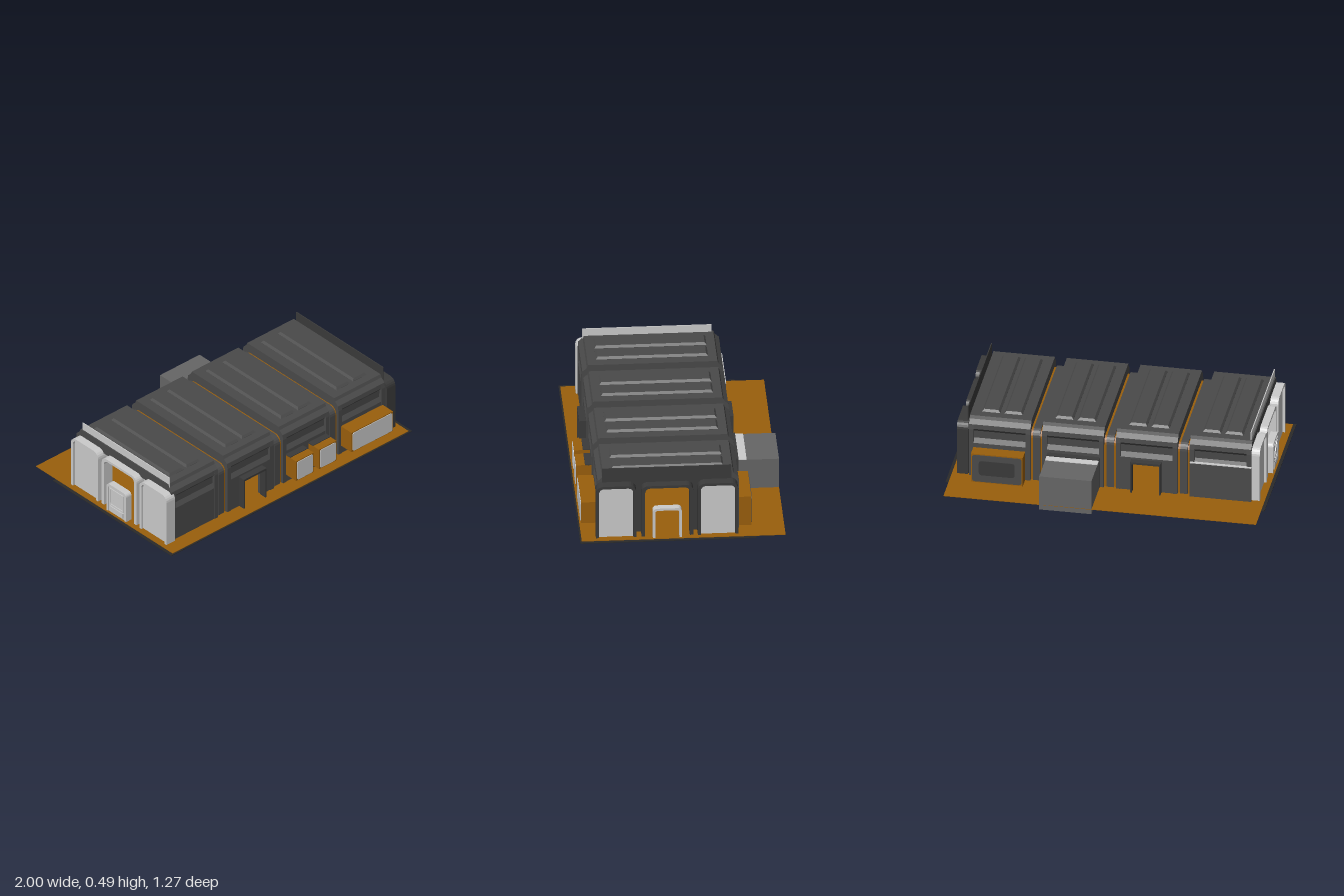
import * as THREE from 'three';

const mat = (color, side = THREE.DoubleSide) => new THREE.MeshStandardMaterial({ color, side, flatShading: true });
const dark = mat(0x4a4a4a), frameDark = mat(0x3a3a3a), baseDark = mat(0x2a2a2a);
const mid = mat(0x666666), light = mat(0xcccccc), brown = mat(0x9a5f0c);
const lightInside = mat(0xcccccc, THREE.FrontSide);
const GROUND = 0.035, ZC = 0.08;

export function createModel() {
  const model = new THREE.Group();
  const add = (parent, name, geo, material) => {
    const m = new THREE.Mesh(geo, material);
    m.name = name;
    parent.add(m);
    return m;
  };
  const group = (name) => {
    const g = new THREE.Group();
    g.name = name;
    model.add(g);
    return g;
  };
  // box given by its limits
  const box = (parent, name, x0, x1, y0, y1, z0, z1, material) =>
    add(parent, name, new THREE.BoxGeometry(x1 - x0, y1 - y0, z1 - z0)
      .translate((x0 + x1) / 2, (y0 + y1) / 2, (z0 + z1) / 2), material);
  // shape drawn across the building, extruded along x
  const prism = (shape, x0, x1, zc) =>
    new THREE.ExtrudeGeometry(shape, { depth: x1 - x0, bevelEnabled: false, curveSegments: 5 })
      .rotateY(Math.PI / 2).translate(x0, 0, zc);
  // half of a round-cornered arch, from the ground to the crown
  const arch = (d, top, r, y0 = GROUND) => {
    const pts = [[d, y0]];
    for (let i = 0; i <= 5; i++) {
      const a = i * Math.PI / 10;
      pts.push([d - r + r * Math.cos(a), top - r + r * Math.sin(a)]);
    }
    return pts;
  };
  const mirrored = (half) => [...half, ...half.slice().reverse().map(([d, y]) => [-d, y])];
  const hoop = (outer, inner) =>
    new THREE.Shape([...mirrored(outer), ...mirrored(inner).reverse()].map(p => new THREE.Vector2(...p)));
  const solid = (half) => new THREE.Shape(mirrored(half).map(p => new THREE.Vector2(...p)));
  // rounded rectangle facing z
  const plate = (parent, name, x0, x1, y0, y1, z, depth, r, material) => {
    const s = new THREE.Shape();
    s.moveTo(x0 + r, y0);
    s.lineTo(x1 - r, y0).quadraticCurveTo(x1, y0, x1, y0 + r);
    s.lineTo(x1, y1 - r).quadraticCurveTo(x1, y1, x1 - r, y1);
    s.lineTo(x0 + r, y1).quadraticCurveTo(x0, y1, x0, y1 - r);
    s.lineTo(x0, y0 + r).quadraticCurveTo(x0, y0, x0 + r, y0);
    return add(parent, name, new THREE.ExtrudeGeometry(s, { depth, bevelEnabled: false, curveSegments: 4 })
      .translate(0, 0, z), material);
  };

  // ground plates
  box(model, 'groundPlate', -1, 1, 0.027, 0.031, -0.46, 0.63, baseDark);
  box(model, 'groundCover', -0.98, 0.98, 0.0315, 0.0345, -0.64, 0.62, brown);

  // four hollow modules: full-profile end ribs and a recessed middle
  const rib = (y) => [[0.44, y], [0.44, 0.36], [0.435, 0.395], [0.408, 0.42], [0.4, 0.44]];
  const recess = (y) => [[0.437, y], [0.437, 0.265], [0.42, 0.295], [0.422, 0.345], [0.438, 0.365],
    [0.435, 0.395], [0.408, 0.42], [0.4, 0.44]];
  const inner = (y) => arch(0.405, 0.37, 0.05, y);
  const modules = [-0.705, -0.2425, 0.22, 0.68];
  modules.forEach((cx, i) => {
    const g = group('module' + (i + 1));
    const h = 0.193, w = 0.03;
    for (const s of [-1, 1])
      add(g, 'endRib', prism(hoop(rib(GROUND), inner(GROUND)),
        cx + s * (h - w / 2) - w / 2, cx + s * (h - w / 2) + w / 2, ZC), dark);
    const shell = (x0, x1, y) => add(g, 'shell', prism(hoop(recess(y), inner(y)), x0, x1, ZC), dark);
    if (i === 1) {
      // passage through both side walls
      shell(cx - h + w, -0.33, GROUND);
      shell(-0.33, -0.15, 0.24);
      shell(-0.15, cx + h - w, GROUND);
    } else shell(cx - h + w, cx + h - w, GROUND);
    // raised roof panels
    for (const s of [-1, 1]) {
      const p = new THREE.Shape([[-0.045, -0.335], [0.045, -0.335], [0.045, 0.335], [-0.045, 0.335]]
        .map(q => new THREE.Vector2(...q)));
      add(g, 'roofPanel', new THREE.ExtrudeGeometry(p, { depth: 0.002, bevelThickness: 0.014, bevelSize: 0.012, bevelSegments: 1 })
        .rotateX(-Math.PI / 2).translate(cx + s * 0.07, 0.439, ZC), dark);
    }
  });

  // connectors between the modules
  for (let i = 0; i < 3; i++) {
    const g = group('connector' + (i + 1)), cx = (modules[i] + modules[i + 1]) / 2;
    add(g, 'seal', prism(hoop(arch(0.42, 0.378, 0.05), arch(0.4, 0.36, 0.045)), cx - 0.04, cx + 0.04, ZC), brown);
    add(g, 'band', prism(hoop(arch(0.428, 0.386, 0.05), arch(0.41, 0.366, 0.045)), cx - 0.023, cx + 0.023, ZC), dark);
  }

  // end walls, each with three bays
  for (const s of [-1, 1]) {
    const g = group(s > 0 ? 'leftEnd' : 'rightEnd');
    const frame = s > 0 ? frameDark : light;
    const span = (a, b) => [Math.min(s * a, s * b), Math.max(s * a, s * b)];
    const seg = (name, shape, a, b, zc, m) => add(g, name, prism(shape, ...span(a, b), zc), m);
    seg('innerWall', hoop(arch(0.42, 0.38, 0.05), arch(0.138, 0.37, 0.03)), 0.872, 0.882, 0.085, frame);
    for (const side of [-1, 1]) {
      const zc = 0.09 + side * 0.315;
      seg('bayFrame', hoop(arch(0.125, 0.395, 0.045), arch(0.106, 0.378, 0.03)), 0.88, 0.95, zc, frame);
      seg('bayPanel', solid(arch(0.108, 0.38, 0.03)), 0.925, 0.935, zc, light);
    }
    seg('middleFrame', hoop(arch(0.16, 0.387, 0.04), arch(0.138, 0.37, 0.03)), 0.88, 0.945, 0.0875, frame);
    seg('doorFrame', hoop(arch(0.09, 0.24, 0.025), arch(0.075, 0.225, 0.018)), 0.925, 0.97, 0.09, light);
    // upright strip above the end wall
    const [x0, x1] = span(0.884, 0.89);
    box(g, 'roofStrip', x0, x1, 0.375, 0.49, -0.31, 0.49, s > 0 ? frameDark : light);
  }

  // closed door in the right end, with braced panel on both faces
  const door = group('endDoor');
  box(door, 'doorLeaf', -0.965, -0.935, GROUND, 0.23, 0.012, 0.168, light);
  for (const x of [-0.967, -0.933]) {
    const bar = (y0, y1, z0, z1) => box(door, 'doorTrim', x - 0.004, x + 0.004, y0, y1, z0, z1, light);
    bar(0.205, 0.213, 0.025, 0.155);
    bar(0.09, 0.098, 0.025, 0.155);
    bar(0.098, 0.205, 0.025, 0.033);
    bar(0.098, 0.205, 0.147, 0.155);
    bar(0.045, 0.08, 0.03, 0.15);
    const brace = add(door, 'doorBrace', new THREE.BoxGeometry(0.008, 0.01, 0.16), light);
    brace.position.set(x, 0.151, 0.09);
    brace.rotation.x = -0.72;
  }
  add(model, 'innerLining', new THREE.PlaneGeometry(0.28, 0.33).rotateY(Math.PI / 2)
    .translate(-0.945, 0.2, 0.0875), lightInside);

  // hoods around the side passage
  const hood = group('passageHoods');
  for (const [z0, z1] of [[0.51, 0.56], [-0.395, -0.35]]) {
    box(hood, 'hoodTop', -0.335, -0.145, 0.238, 0.252, z0, z1, frameDark);
    for (const x of [-0.335, -0.155]) box(hood, 'hoodSide', x, x + 0.01, GROUND, 0.24, z0, z1, frameDark);
  }

  // window boxes on the front
  const windows = group('frontWindows');
  for (const [x0, x1] of [[0.05, 0.195], [0.24, 0.385], [0.51, 0.855]]) {
    box(windows, 'windowBox', x0, x1, 0.092, 0.238, 0.5, 0.615, brown);
    plate(windows, 'windowPane', x0 + 0.007, x1 - 0.007, 0.098, 0.232, 0.614, 0.005, 0.015, light);
    if (x1 < 0.5) box(windows, 'windowHood', x0, x1, 0.236, 0.242, 0.51, 0.56, frameDark);
  }

  // fittings on the back
  const back = group('backFittings');
  box(back, 'brownBox', 0.52, 0.845, GROUND, 0.235, -0.438, -0.35, brown);
  plate(back, 'boxFace', 0.527, 0.838, 0.042, 0.228, -0.442, 0.005, 0.02, dark);
  plate(back, 'boxInset', 0.57, 0.795, 0.09, 0.19, -0.445, 0.005, 0.02, frameDark);
  box(back, 'greyBox', 0.052, 0.38, 0, 0.235, -0.64, -0.39, mid);
  box(back, 'greyBoxTopStrip', 0.052, 0.38, 0.23, 0.238, -0.44, -0.39, light);
  box(back, 'greyBoxCollar', 0.052, 0.38, GROUND, 0.245, -0.39, -0.35, frameDark);
  box(back, 'coverPanel', -0.9, -0.515, GROUND, 0.272, -0.373, -0.355, dark);
  box(back, 'coverPanelEdge', -0.9, -0.515, 0.272, 0.276, -0.375, -0.355, light);

  return model;
}
